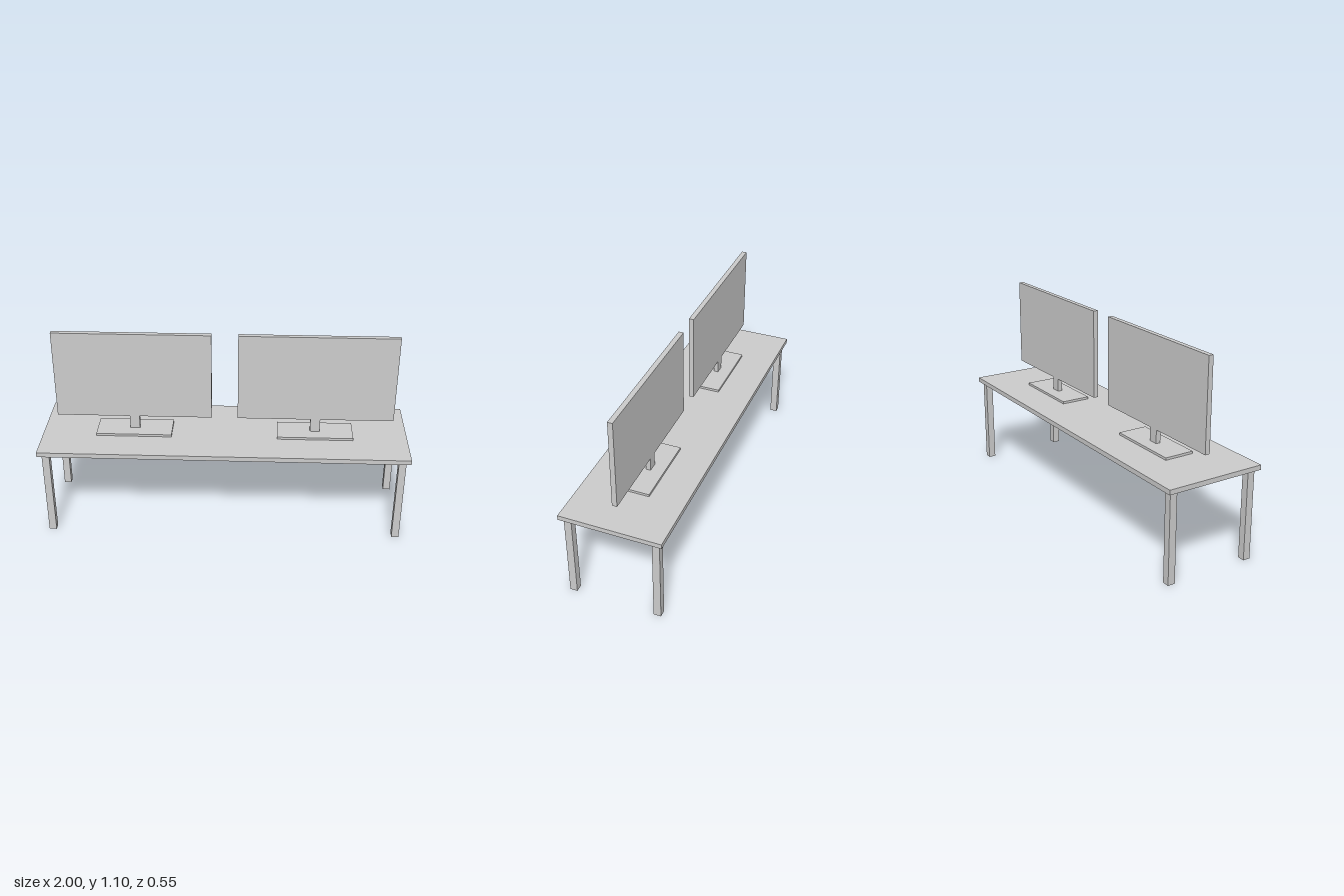
import * as THREE from 'three';

const lightGrey = new THREE.MeshStandardMaterial({ color: 0xcccccc });
lightGrey.name = 'light grey';

// Box standing on height y0 and reaching y1, centred at x, z
function box(name, width, y0, y1, depth, x = 0, z = 0) {
  const mesh = new THREE.Mesh(new THREE.BoxGeometry(width, y1 - y0, depth), lightGrey);
  mesh.name = name;
  mesh.position.set(x, (y0 + y1) / 2, z);
  return mesh;
}

// Screen on a neck and a flat foot
function createMonitor(name, x) {
  const monitor = new THREE.Group();
  monitor.name = name;
  monitor.add(
    box('standBase', 0.414, 0.517, 0.53, 0.166),
    box('standNeck', 0.054, 0.53, 0.605, 0.026),
    box('screen', 0.852, 0.605, 1.1, 0.027),
  );
  monitor.position.x = x;
  return monitor;
}

export function createModel() {
  const model = new THREE.Group();
  model.name = 'deskWithMonitors';

  // Desk top
  model.add(box('deskTop', 2, 0.491, 0.517, 0.552));

  // Four square legs, set in from the corners
  for (const [side, sx] of [['Left', 1], ['Right', -1]]) {
    for (const [end, sz] of [['front', 1], ['back', -1]]) {
      model.add(box(`${end}${side}Leg`, 0.04, 0, 0.491, 0.04, sx * 0.957, sz * 0.235));
    }
  }

  // Two monitors side by side
  model.add(createMonitor('leftMonitor', 0.497), createMonitor('rightMonitor', -0.497));
  return model;
}
